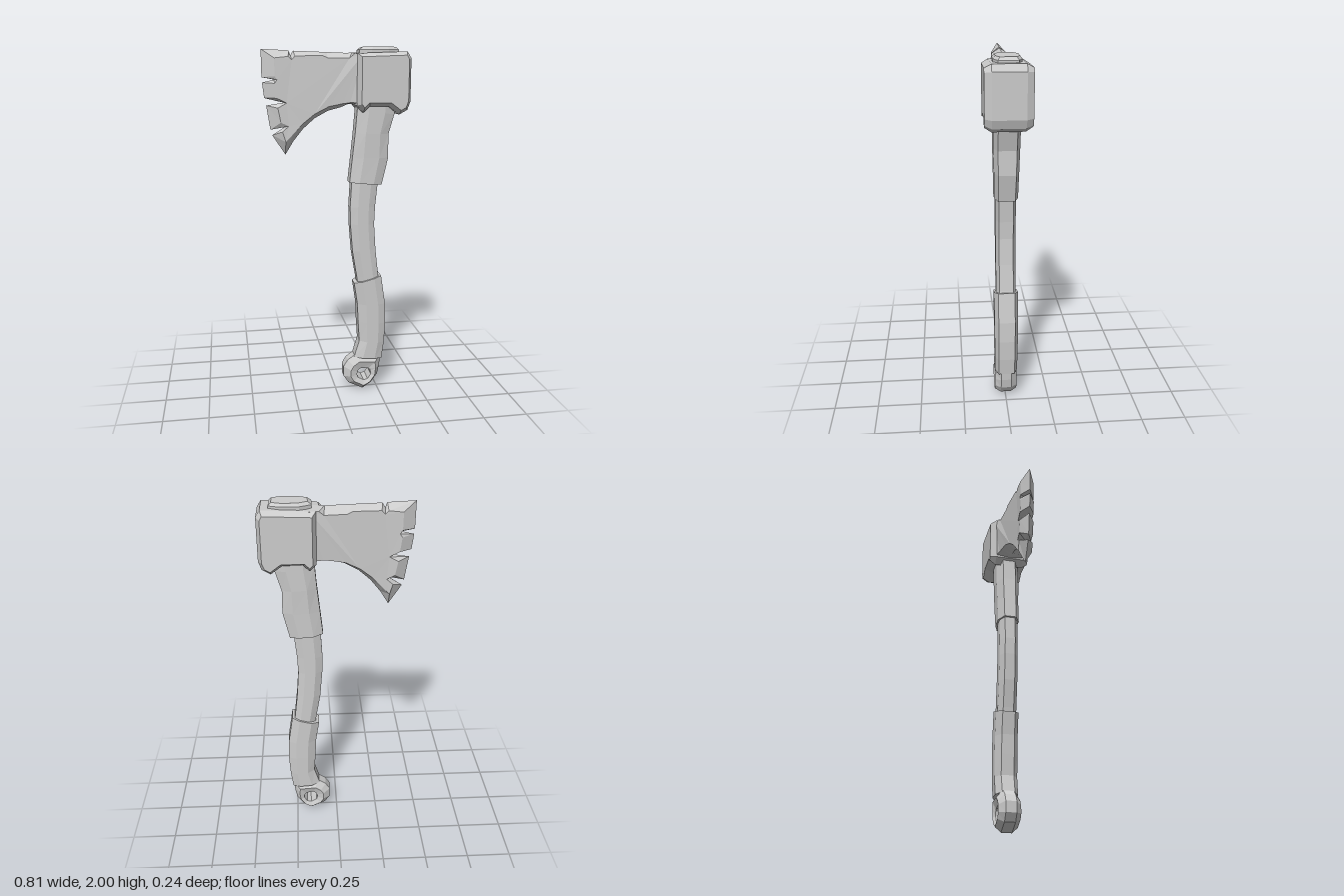
import * as THREE from 'three';

const material = new THREE.MeshStandardMaterial({ color: 0xcccccc, flatShading: true });

// Faceted mesh from a flat list of triangle corners.
function facetMesh(name, corners) {
  const g = new THREE.BufferGeometry();
  g.setAttribute('position', new THREE.Float32BufferAttribute(corners.flat(), 3));
  g.computeVertexNormals();
  const mesh = new THREE.Mesh(g, material);
  mesh.name = name;
  return mesh;
}

// Triangles joining consecutive rings of equal point count.
function skin(rings, closed = false) {
  const out = [];
  const count = closed ? rings.length : rings.length - 1;
  for (let i = 0; i < count; i++) {
    const r = rings[i], s = rings[(i + 1) % rings.length];
    for (let j = 0; j < r.length; j++) {
      const k = (j + 1) % r.length;
      out.push(r[j], r[k], s[k], r[j], s[k], s[j]);
    }
  }
  return out;
}

// Elongated octagonal section, tilted between its left and right ends.
function octagon([xl, yl, xr, yr, hz]) {
  const section = [[1, 0.7], [1, -0.7], [0.45, -1], [-0.42, -1], [-1, -0.55], [-1, 0.55], [-0.42, 1], [0.45, 1]];
  return section.map(([u, w]) => {
    const t = (u + 1) / 2;
    return [xl + (xr - xl) * t, yl + (yr - yl) * t, w * hz];
  });
}

function shaft(name, sections) {
  const rings = sections.map(octagon);
  const corners = skin(rings);
  const first = rings[0], last = rings[rings.length - 1];
  for (let j = 1; j < 7; j++) {
    corners.push(first[0], first[j + 1], first[j], last[0], last[j], last[j + 1]);
  }
  return facetMesh(name, corners);
}

// Pommel with a lanyard hole.
function pommel() {
  const outline = [[0.268, 0.22], [0.12, 0.225], [0.07, 0.19], [0.045, 0.15], [0.045, 0.09],
    [0.075, 0.045], [0.16, 0.003], [0.21, 0.035], [0.25, 0.09], [0.262, 0.15]];
  const cx = 0.165, cy = 0.105;
  const ring = (blend, z) => outline.map(([x, y]) => {
    const d = Math.hypot(x - cx, y - cy);
    const r = 0.042 + (d - 0.042) * blend;
    return [cx + (x - cx) / d * r, cy + (y - cy) / d * r, z];
  });
  return facetMesh('pommel', skin([
    ring(1, -0.03), ring(1, 0.03), ring(0.5, 0.063), ring(0, 0.05), ring(0, -0.05), ring(0.5, -0.063),
  ], true));
}

// Blade: sharp outline on the centre plane, inset outline on each cheek.
function blade() {
  // outer x, y, then inset x, y
  const pts = [
    [0.14, 1.97, 0.14, 1.965], [0.09, 1.97, 0.09, 1.962], [0.06, 1.968, 0.065, 1.94], [-0.05, 1.972, -0.05, 1.94],
    [-0.08, 1.973, -0.08, 1.953], [-0.23, 1.978, -0.225, 1.95], [-0.245, 1.955, -0.242, 1.93],
    [-0.255, 1.98, -0.26, 1.948], [-0.403, 1.987, -0.335, 1.94],
    // chipped cutting edge
    [-0.402, 1.84, -0.335, 1.845], [-0.335, 1.827, -0.322, 1.827], [-0.4, 1.812, -0.335, 1.808],
    [-0.39, 1.73, -0.325, 1.73], [-0.285, 1.705, -0.272, 1.704], [-0.38, 1.69, -0.32, 1.678],
    [-0.36, 1.56, -0.305, 1.6], [-0.275, 1.577, -0.262, 1.58], [-0.35, 1.53, -0.297, 1.55],
    [-0.28, 1.422, -0.28, 1.495],
    // curved beard
    [-0.235, 1.495, -0.243, 1.53], [-0.18, 1.563, -0.188, 1.592], [-0.115, 1.62, -0.122, 1.645],
    [-0.04, 1.66, -0.045, 1.685], [0.03, 1.678, 0.03, 1.7], [0.07, 1.695, 0.07, 1.705], [0.14, 1.695, 0.14, 1.705],
  ];
  const thickness = (x) => x > 0.07 ? 0.072 + (x - 0.07) * 0.28
    : x > -0.25 ? 0.04 + (x + 0.25) * 0.1 : 0.04;
  const cheek = (side) => pts.map(([, , x, y]) => [x, y, side * thickness(x)]);
  const back = cheek(-1), front = cheek(1);
  const corners = skin([back, pts.map(([x, y]) => [x, y, 0]), front]);
  const faces = THREE.ShapeUtils.triangulateShape(pts.map((p) => new THREE.Vector2(p[2], p[3])), []);
  for (const [a, b, c] of faces) {
    corners.push(front[a], front[b], front[c], back[a], back[c], back[b]);
  }
  return facetMesh('blade', corners);
}

// Chamfered block around the handle, arched underneath.
function hammerBlock() {
  const outline = [[0.105, 1.965], [0.105, 1.69], [0.14, 1.652], [0.175, 1.685], [0.28, 1.685],
    [0.34, 1.64], [0.385, 1.665], [0.402, 1.71], [0.402, 1.94], [0.38, 1.975]];
  const shape = new THREE.Shape(outline.map(([x, y]) => new THREE.Vector2(x, y)));
  const g = new THREE.ExtrudeGeometry(shape, {
    depth: 0.17, bevelThickness: 0.036, bevelSize: 0.02, bevelOffset: -0.02, bevelSegments: 1,
  });
  g.translate(0, 0, -0.085);
  const mesh = new THREE.Mesh(g, material);
  mesh.name = 'hammerBlock';
  return mesh;
}

export function createModel() {
  const axe = new THREE.Group();
  axe.name = 'axe';
  axe.add(
    pommel(),
    // Each section: left x, y, right x, y, half depth
    shaft('lowerGrip', [
      [0.108, 0.21, 0.272, 0.197, 0.064], [0.138, 0.31, 0.285, 0.3, 0.065], [0.13, 0.43, 0.292, 0.42, 0.066],
      [0.125, 0.54, 0.288, 0.54, 0.066], [0.105, 0.67, 0.262, 0.712, 0.066],
    ]),
    shaft('handle', [
      [0.135, 0.6, 0.265, 0.62, 0.055], [0.122, 0.7, 0.245, 0.72, 0.055], [0.095, 0.86, 0.228, 0.87, 0.055],
      [0.082, 1.02, 0.218, 1.02, 0.055], [0.08, 1.12, 0.222, 1.12, 0.055], [0.09, 1.3, 0.24, 1.3, 0.055],
    ]),
    shaft('upperGrip', [
      [0.075, 1.262, 0.257, 1.248, 0.064], [0.09, 1.4, 0.292, 1.4, 0.066], [0.105, 1.54, 0.29, 1.53, 0.07],
      [0.115, 1.66, 0.322, 1.64, 0.07], [0.12, 1.8, 0.33, 1.8, 0.07],
    ]),
    hammerBlock(),
    blade(),
    shaft('handleTop', [
      [0.125, 1.94, 0.34, 1.94, 0.072], [0.125, 1.985, 0.34, 1.985, 0.072], [0.145, 2, 0.325, 2, 0.06],
    ]),
  );
  return axe;
}
